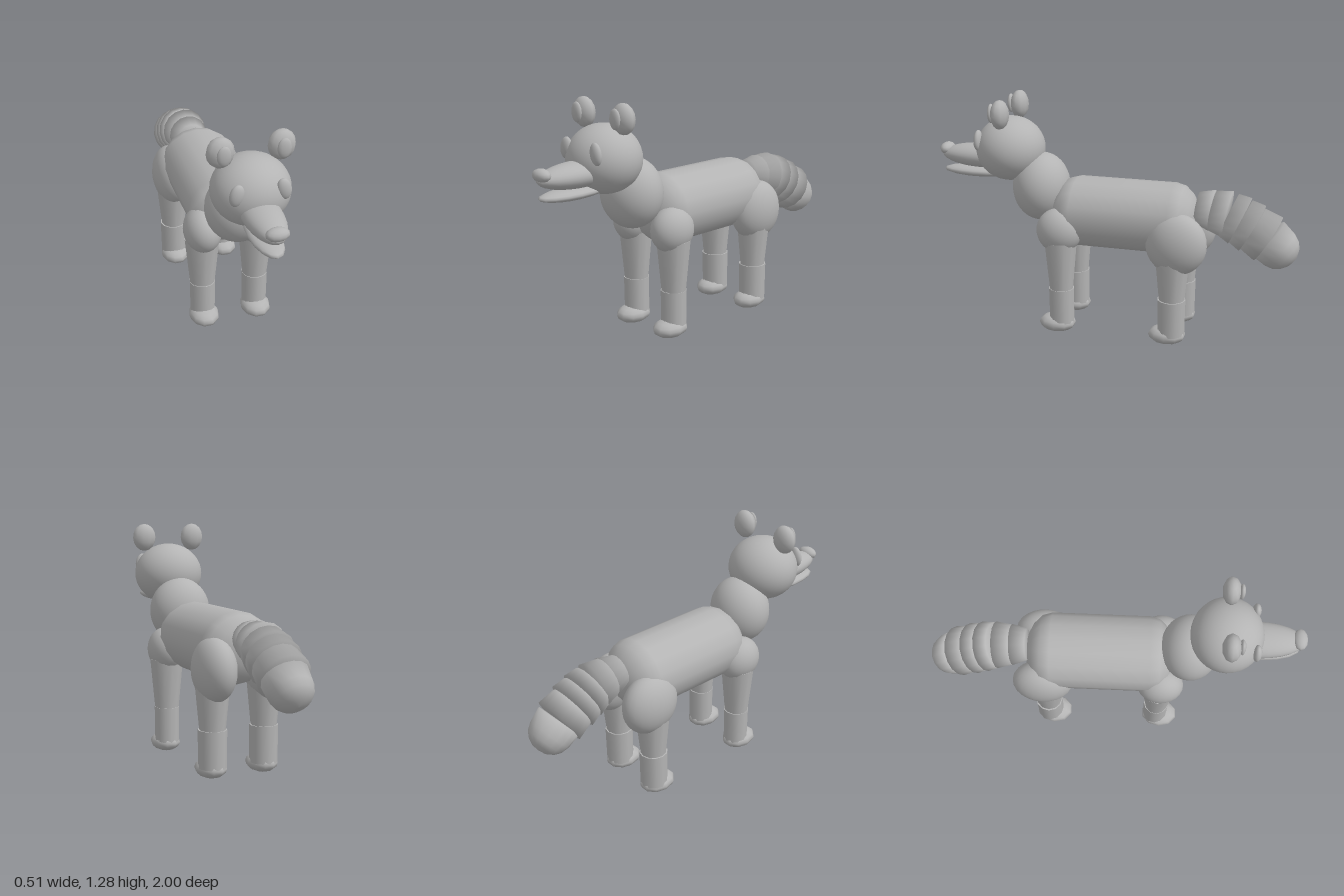
import * as THREE from 'three';

const grey = new THREE.MeshStandardMaterial({ color: 0xb4b4b4 });
grey.name = 'plainGrey';

const UP = new THREE.Vector3(0, 1, 0);

export function createModel() {
  const model = new THREE.Group();
  model.name = 'animal';

  const add = (name, geometry, x, y, z, parent = model) => {
    const mesh = new THREE.Mesh(geometry, grey);
    mesh.name = name;
    mesh.position.set(x, y, z);
    parent.add(mesh);
    return mesh;
  };

  // Ellipsoid given its centre and radii
  const blob = (name, [x, y, z], [rx, ry, rz], w = 32, h = 20, parent = model) => {
    const mesh = add(name, new THREE.SphereGeometry(1, w, h), x, y, z, parent);
    mesh.scale.set(rx, ry, rz);
    return mesh;
  };

  // Body: a barrel with rounded ends lying along z
  const half = 0.265, cap = 0.14, profile = [];
  for (let i = 0; i <= 4; i++) {
    const a = (i / 4) * Math.PI / 2;
    profile.push(new THREE.Vector2(Math.sin(a), -half - cap * Math.cos(a)));
  }
  for (let i = 4; i >= 0; i--) profile.push(new THREE.Vector2(profile[i].x, -profile[i].y));
  const barrel = new THREE.LatheGeometry(profile, 16);
  barrel.scale(0.205, 1, 0.19);
  barrel.rotateX(Math.PI / 2);
  add('body', barrel, 0, 0.665, -0.065);

  // Neck and head
  blob('neck', [0, 0.787, 0.41], [0.174, 0.187, 0.156]);
  blob('head', [0, 0.99, 0.583], [0.197, 0.175, 0.188]);
  blob('muzzle', [0, 0.938, 0.74], [0.098, 0.066, 0.245], 24, 16);
  blob('lowerJaw', [0, 0.85, 0.78], [0.077, 0.031, 0.2], 16, 10);
  blob('nose', [0, 0.965, 0.959], [0.058, 0.033, 0.038], 12, 8);

  for (const side of [1, -1]) {
    const label = side > 0 ? 'left' : 'right';

    // Eyes and ears
    blob(label + 'Eye', [side * 0.115, 1.048, 0.726], [0.036, 0.056, 0.023], 16, 12)
      .rotation.z = side * 0.2;
    blob(label + 'Ear', [side * 0.15, 1.203, 0.582], [0.07, 0.078, 0.048], 10, 8);
    blob(label + 'InnerEar', [side * 0.146, 1.207, 0.632], [0.036, 0.052, 0.017], 12, 8);

    // Legs: joint, tapered upper leg, lower leg and paw
    const legs = [
      { name: 'Front', z: 0.257, r: 0.07, jointZ: 0.265, jointY: 0.588, joint: [0.1, 0.123, 0.125], pawZ: 0.283 },
      { name: 'Rear', z: -0.357, r: 0.076, jointZ: -0.375, jointY: 0.57, joint: [0.107, 0.168, 0.163], pawZ: -0.335 },
    ];
    for (const l of legs) {
      const leg = new THREE.Group();
      leg.name = label + l.name + 'Leg';
      leg.position.x = side * 0.147;
      model.add(leg);
      blob('upperJoint', [0, l.jointY, l.jointZ], l.joint, 24, 16, leg);
      const upper = add('upperLeg', new THREE.CylinderGeometry(0.094, 0.068, 0.275, 12), 0, 0.3975, l.z, leg);
      upper.scale.z = l.r / 0.074;
      add('lowerLeg', new THREE.CylinderGeometry(l.r, l.r * 0.97, 0.2, 12), 0, 0.16, l.z, leg);
      blob('paw', [0, 0.053, l.pawZ], [0.081, 0.05, 0.102], 10, 8, leg);
    }
  }

  // Tail: flared rings along a drooping path, [z, y, start radius, end radius]
  const rings = [
    [-0.455, 0.735, 0.085, 0.11],
    [-0.535, 0.725, 0.107, 0.126],
    [-0.62, 0.71, 0.122, 0.135],
    [-0.685, 0.68, 0.126, 0.138],
    [-0.75, 0.645, 0.124, 0.136],
    [-0.835, 0.594, 0.122, 0.122],
    [-0.95, 0.495, 0, 0],
  ];
  const tail = new THREE.Group();
  tail.name = 'tail';
  model.add(tail);
  for (let i = 0; i < 6; i++) {
    const [z, y, r0, r1] = rings[i];
    const dir = new THREE.Vector3(0, rings[i + 1][1] - y, rings[i + 1][0] - z);
    const len = dir.length();
    const points = i < 5
      ? [[0, 0], [r0, 0], [r1, len], [0, len]]
      : [[0, 0], [r0, 0], [0.114, len * 0.55], [0.1, len * 0.82], [0.076, len], [0.04, len + 0.02], [0, len + 0.025]];
    const ring = add(i < 5 ? 'tailRing' : 'tailTip',
      new THREE.LatheGeometry(points.map(p => new THREE.Vector2(...p)), 16), 0, y, z, tail);
    ring.quaternion.setFromUnitVectors(UP, dir.normalize());
  }

  return model;
}
